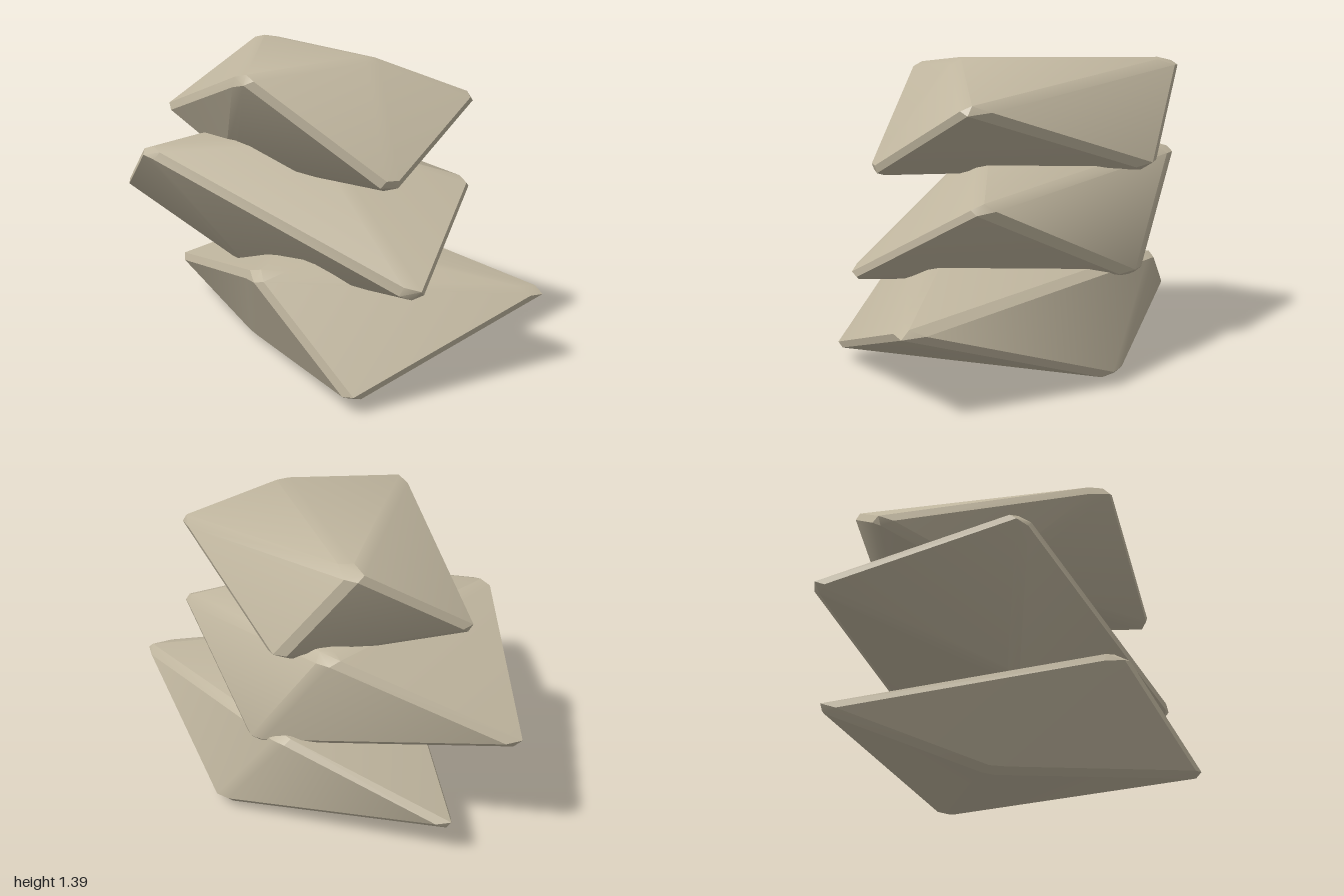
import * as THREE from 'three';
import { toCreasedNormals } from 'three/addons/utils/BufferGeometryUtils.js';
import { ConvexGeometry } from 'three/addons/geometries/ConvexGeometry.js';

const BEVEL = 0.029;

// Corners per rock: front top, left, right, peak, back right, back left, back bottom, bottom
const ROCKS = {
  bottomRock: [
    [0.3, 0.505, 0.54], [-0.93, 0.18, 0.03], [0.8, 0.045, 0.425], [0.45, 0.55, 0.02],
    [1.045, 0.37, -0.555], [-0.34, 0.51, -0.5], [0.02, 0.02, -0.655], [-0.15, -0.013, 0.15],
  ],
  middleRock: [
    [-0.29, 0.965, 0.67], [-1.065, 0.595, 0.26], [0.91, 0.435, 0.135], [0.19, 1.01, 0.07],
    [0.635, 0.8, -0.495], [-0.55, 0.965, -0.4], [-0.18, 0.42, -0.565], [-0.1, 0.39, 0.26],
  ],
  topRock: [
    [0.26, 1.33, 0.555], [-0.77, 1.025, 0.205], [0.765, 0.87, 0.16], [0.425, 1.378, -0.04],
    [0.665, 1.19, -0.475], [-0.655, 1.36, -0.33], [-0.32, 0.88, -0.52], [-0.21, 0.85, 0.235],
  ],
};

// Hull of the corners with every edge chamfered: each face is inset, then the hull is taken again
function bevelledRock(corners) {
  const pts = corners.map((c) => new THREE.Vector3(...c));
  const pos = new ConvexGeometry(pts).getAttribute('position');
  const inset = [];
  for (let i = 0; i < pos.count; i += 3) {
    const tri = [0, 1, 2].map((k) => new THREE.Vector3().fromBufferAttribute(pos, i + k));
    tri.forEach((p, k) => {
      const u = tri[(k + 1) % 3].clone().sub(p).normalize();
      const v = tri[(k + 2) % 3].clone().sub(p).normalize();
      const sin = Math.max(u.clone().cross(v).length(), 0.35);
      inset.push(p.clone().addScaledVector(u.add(v), BEVEL / sin));
    });
  }
  return toCreasedNormals(new ConvexGeometry(inset), 0.52);
}

export function createModel() {
  const model = new THREE.Group();
  model.name = 'rockStack';
  const stone = new THREE.MeshStandardMaterial({ color: 0xbfb59e });
  stone.name = 'stone';

  for (const [name, corners] of Object.entries(ROCKS)) {
    const rock = new THREE.Mesh(bevelledRock(corners), stone);
    rock.name = name;
    model.add(rock);
  }
  return model;
}
